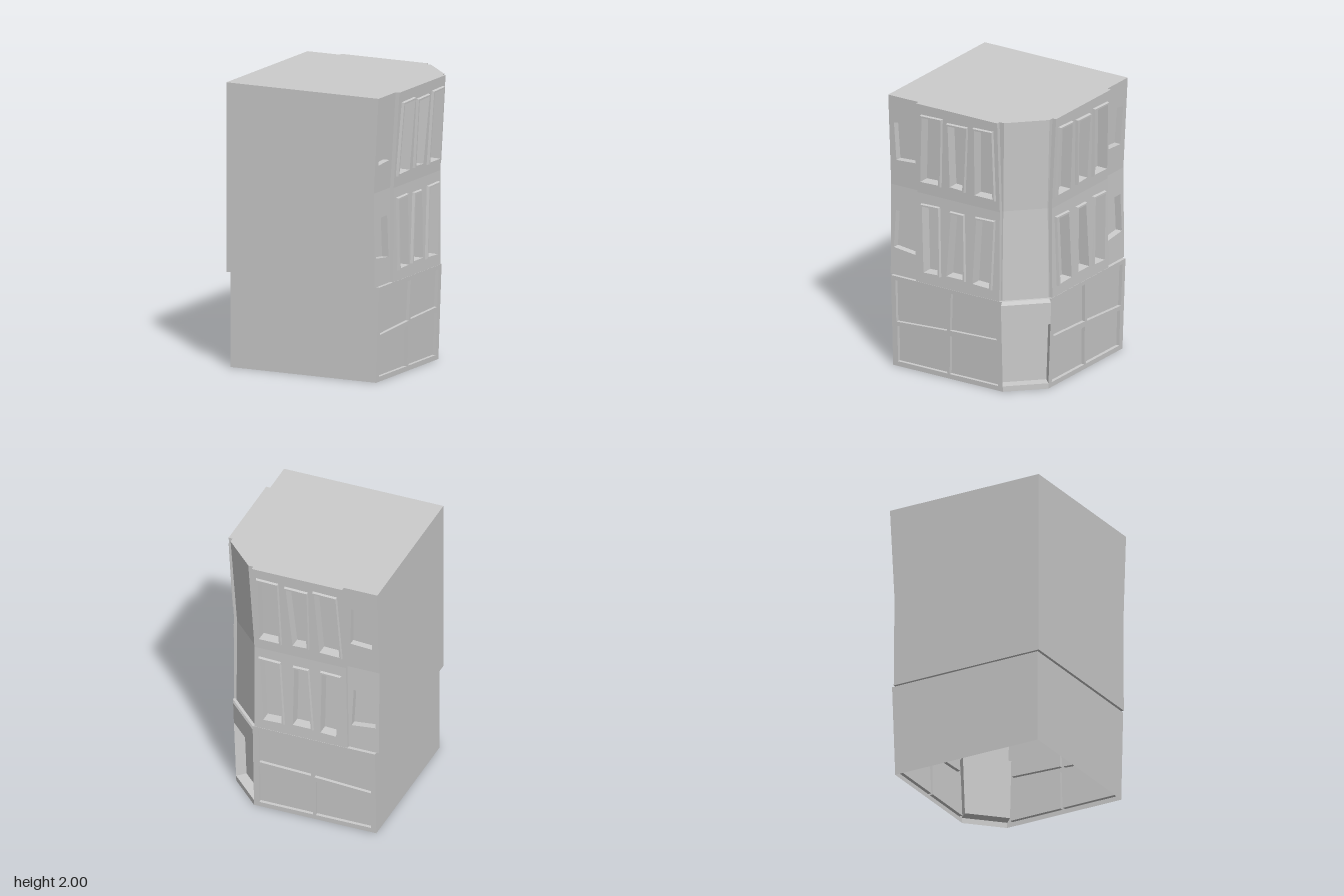
import * as THREE from 'three';

const MID = 0.67, KNEE = 1.33, TOP = 2;
const lerp = THREE.MathUtils.lerp;

// Piecewise linear function of height, given as [y, value] knots
const profile = (knots) => (y) => {
  let i = 1;
  while (i < knots.length - 1 && y > knots[i][0]) i++;
  const [a, b] = [knots[i - 1], knots[i]];
  return lerp(a[1], b[1], (y - a[0]) / (b[0] - a[0]));
};
const shopFace = profile([[0, 0.535], [MID, 0.56]]);
const wallFace = profile([[MID, 0.535], [KNEE, 0.529], [TOP, 0.565]]);
const bayFace = profile([[MID, 0.558], [KNEE, 0.556], [TOP, 0.595]]);
// Edges along the street facade; u runs towards the cut corner
const bayStart = profile([[MID, -0.395], [TOP, -0.37]]);
const bayEnd = profile([[MID, 0.295], [TOP, 0.303]]);
const cutEdge = profile([[MID, 0.305], [KNEE, 0.31], [TOP, 0.34]]);

const material = new THREE.MeshStandardMaterial({ color: 0xcccccc, side: THREE.DoubleSide, flatShading: true });

// Mesh from a list of convex polygons
function polyMesh(name, polys) {
  const pos = [];
  for (const p of polys)
    for (let i = 1; i < p.length - 1; i++) pos.push(...p[0], ...p[i], ...p[i + 1]);
  const g = new THREE.BufferGeometry();
  g.setAttribute('position', new THREE.Float32BufferAttribute(pos, 3));
  g.computeVertexNormals();
  const mesh = new THREE.Mesh(g, material);
  mesh.name = name;
  return mesh;
}

// Reflection that swaps the two street facades
const flip = ([x, y, z]) => [-z, y, -x];
const flipAll = (polys) => polys.map((p) => p.map(flip).reverse());

// Facade point: u along the street, y up, d in front of the face
const at = (face, [u, y], d = 0) => [face(y) + d, y, -u];

// Flat wall with openings
function wall(face, outline, holes = []) {
  const v = (l) => l.map(([x, y]) => new THREE.Vector2(x, y));
  const all = [outline, ...holes].flat();
  return THREE.ShapeUtils.triangulateShape(v(outline), holes.map(v)).map((t) => {
    const [a, b, c] = t.map((i) => all[i]);
    const ccw = (b[0] - a[0]) * (c[1] - a[1]) - (b[1] - a[1]) * (c[0] - a[0]) > 0;
    return (ccw ? [a, b, c] : [a, c, b]).map((p) => at(face, p));
  });
}

// Opening: successive rings [inset, depth], closed by a pane
const SIGNS = [[1, -1], [-1, -1], [-1, 1], [1, 1]];
function opening(face, quad, steps) {
  const rings = steps.map(([s, d]) =>
    quad.map(([u, y], k) => at(face, [u + SIGNS[k][0] * s, y + SIGNS[k][1] * s], d)));
  const polys = [];
  for (let r = 0; r + 1 < rings.length; r++)
    for (let k = 0; k < 4; k++) {
      const n = (k + 1) % 4, a = rings[r], b = rings[r + 1];
      polys.push([a[k], b[k], b[n], a[n]]);
    }
  polys.push([...rings.at(-1)].reverse());
  return polys;
}

// Openings as top-left, top-right, bottom-right, bottom-left
const SHOP = [
  [[-0.555, 0.3], [-0.155, 0.32], [-0.15, 0.035], [-0.56, 0.035]],
  [[-0.12, 0.32], [0.27, 0.34], [0.27, 0.035], [-0.13, 0.035]],
  [[-0.565, 0.64], [-0.135, 0.64], [-0.145, 0.355], [-0.565, 0.33]],
  [[-0.105, 0.64], [0.27, 0.64], [0.265, 0.375], [-0.12, 0.36]],
];
const BAY = [
  [
    [[-0.35, 1.255], [-0.195, 1.26], [-0.185, 0.745], [-0.335, 0.74]],
    [[-0.11, 1.25], [0.01, 1.25], [0.02, 0.755], [-0.145, 0.755]],
    [[0.1, 1.255], [0.265, 1.26], [0.24, 0.74], [0.07, 0.745]],
  ], [
    [[-0.33, 1.925], [-0.15, 1.93], [-0.18, 1.41], [-0.36, 1.405]],
    [[-0.115, 1.91], [0.06, 1.915], [0.02, 1.415], [-0.115, 1.42]],
    [[0.105, 1.925], [0.27, 1.93], [0.27, 1.405], [0.09, 1.405]],
  ],
];
const SIDE = [
  [[-0.58, 1.145], [-0.43, 1.145], [-0.415, 0.85], [-0.595, 0.87]],
  [[-0.58, 1.8], [-0.42, 1.83], [-0.41, 1.53], [-0.57, 1.52]],
];
const FRAME = [[0, 0], [0.004, 0.02], [0.016, 0.02], [0.018, -0.06]];

// Parts of one street facade, as polygon lists
function facadeParts() {
  const parts = {
    shopWall: wall(shopFace, [[-0.6, 0], [0.31, 0], [0.31, MID], [-0.6, MID]], SHOP),
    shopWindows: SHOP.flatMap((q) => opening(shopFace, q, [[0, 0], [0, -0.025]])),
    sideWall: [], sideWindows: [], bayWall: [], bayWindows: [], bayReturns: [], cornerStrip: [],
  };
  [[MID, KNEE], [KNEE, TOP]].forEach(([y0, y1], i) => {
    const span = (l, r) => [[l(y0), y0], [r(y0), y0], [r(y1), y1], [l(y1), y1]];
    const end = () => -0.62;
    parts.sideWall.push(...wall(wallFace, span(end, bayStart), [SIDE[i]]));
    parts.sideWindows.push(...opening(wallFace, SIDE[i], [[0, 0], [0, -0.05]]));
    parts.bayWall.push(...wall(bayFace, span(bayStart, bayEnd), BAY[i]));
    parts.bayWindows.push(...BAY[i].flatMap((q) => opening(bayFace, q, FRAME)));
    parts.cornerStrip.push(...wall(wallFace, span(bayEnd, cutEdge)));
    for (const e of [bayStart, bayEnd]) {
      const p = [at(wallFace, [e(y0), y0]), at(bayFace, [e(y0), y0]),
        at(bayFace, [e(y1), y1]), at(wallFace, [e(y1), y1])];
      parts.bayReturns.push(e === bayStart ? p : p.reverse());
    }
  });
  return parts;
}

// Blank rear walls of one side, lower and upper storeys
const blankWall = () => [
  [[-0.6, 0, 0.6], [shopFace(0), 0, 0.6], [shopFace(MID), MID, 0.6], [-0.6, MID, 0.6]],
  [[-0.62, MID, 0.62], [wallFace(MID), MID, 0.62], [wallFace(KNEE), KNEE, 0.62],
    [wallFace(TOP), TOP, 0.62], [-0.62, TOP, 0.62]],
];

// Horizontal slab from half an outline, mirrored, with optional square hole
function slab(name, y, half, hole) {
  const full = [...half, ...half.slice(1).reverse().map(([x, z]) => [-z, -x])];
  const shape = new THREE.Shape(full.map(([x, z]) => new THREE.Vector2(x, -z)));
  if (hole) shape.holes.push(new THREE.Path(hole.map(([x, z]) => new THREE.Vector2(x, -z))));
  const mesh = new THREE.Mesh(new THREE.ShapeGeometry(shape).rotateX(-Math.PI / 2).translate(0, y, 0), material);
  mesh.name = name;
  return mesh;
}

// Band across the cut corner between two [x, y, z] edge points
const band = (a, b) => [a, flip(a), flip(b), b];

export function createModel() {
  const model = new THREE.Group();
  model.name = 'cornerBuilding';

  // Two mirrored street facades and blank walls
  const parts = { ...facadeParts(), blankWall: blankWall() };
  for (const [side, map] of [['right', (p) => p], ['back', flipAll]]) {
    const facade = new THREE.Group();
    facade.name = side + 'Facade';
    for (const [name, polys] of Object.entries(parts)) facade.add(polyMesh(name, map(polys)));
    model.add(facade);
  }

  // Cut corner above the entrance
  const c = (y) => at(wallFace, [cutEdge(y), y]);
  model.add(polyMesh('cornerWall', [band(c(MID), c(KNEE)), band(c(KNEE), c(TOP))]));

  // Fascia over the door, with a sloped cap
  const s = (y) => at(shopFace, [0.31, y]);
  model.add(polyMesh('doorFascia', [band(s(0.48), s(0.64)), band(s(0.64), c(MID))]));

  // Recessed door with step, jambs and soffit
  const inner = (y) => { const [x, , z] = s(y); return [x - 0.055, y, z + 0.055]; };
  const jamb = [[s(0.04), inner(0.04), inner(0.48), s(0.48)].reverse()];
  model.add(polyMesh('door', [band(inner(0.04), inner(0.48))]));
  model.add(polyMesh('doorStep', [band(s(0), s(0.04)), band(s(0.04), inner(0.04))]));
  model.add(polyMesh('doorJambs', [...jamb, ...flipAll(jamb)]));
  model.add(polyMesh('doorSoffit', [band(inner(0.48), s(0.48))]));

  // Roof and the overhanging ledge between storeys
  model.add(slab('roof', TOP, [[-0.62, 0.62], [0.565, 0.62], [0.565, 0.37], [0.595, 0.37],
    [0.595, -0.303], [0.565, -0.303], [0.565, -0.34]]));
  model.add(slab('storeyLedge', MID, [[-0.62, 0.62], [0.535, 0.62], [0.535, 0.6], [0.56, 0.6],
    [0.56, -0.31]], [[-0.48, 0.48], [0.42, 0.48], [0.42, -0.2], [0.2, -0.42], [-0.48, -0.42]]));

  return model;
}
